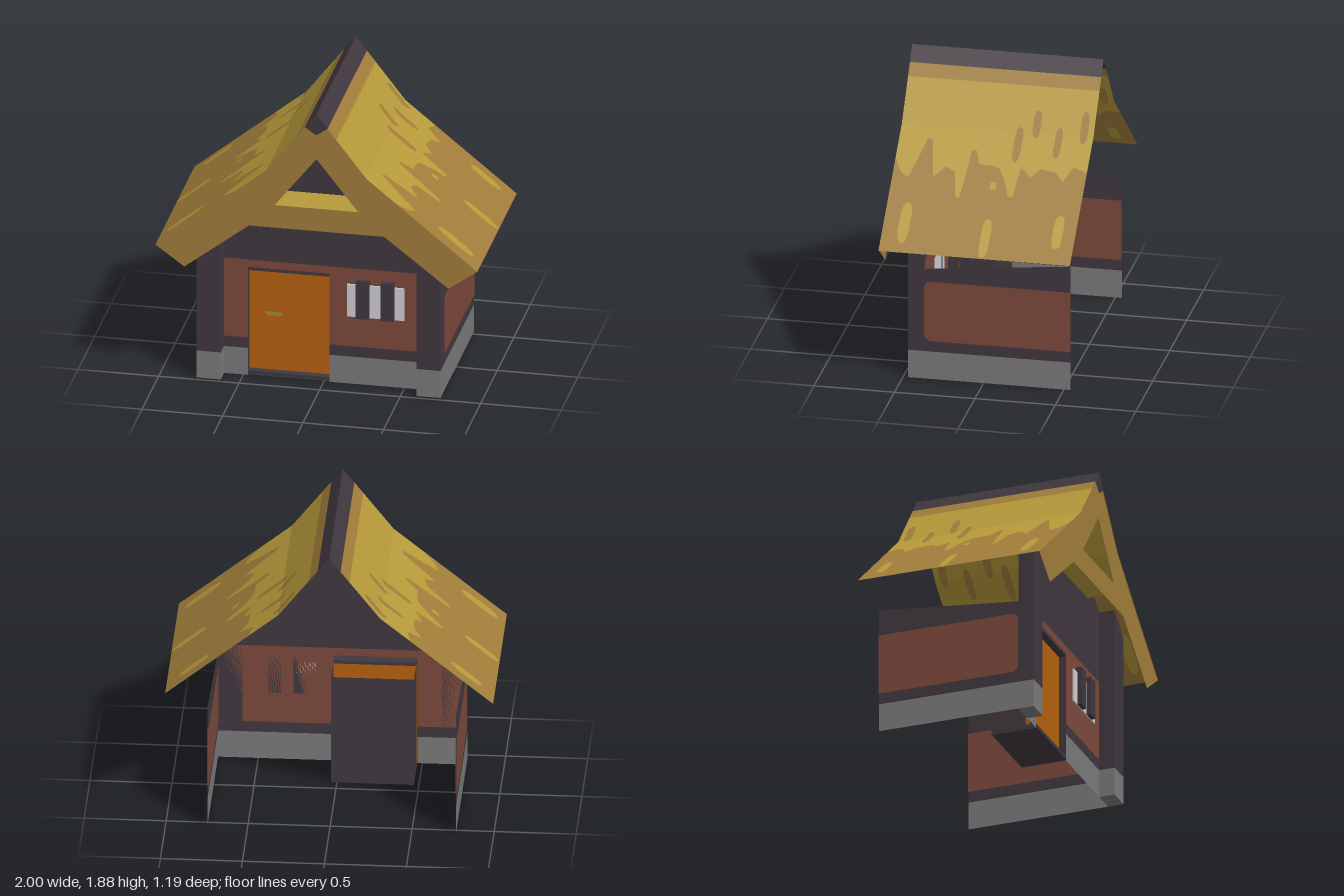
import * as THREE from 'three';

const mat = (name, color) => new THREE.MeshStandardMaterial({ name, color, side: THREE.DoubleSide });

export function createModel() {
  const timber = mat('dark timber', 0x40373f), thatch = mat('brown thatch', 0xa17d3a);
  const straw = mat('light straw', 0xb79a3a), brick = mat('red plaster', 0x7d493c);
  const stone = mat('grey stone', 0x7a7a7a), orange = mat('orange door', 0xb5610f);
  const pale = mat('pale window', 0xd0d0d4), brass = mat('brass handle', 0xa68a36);
  const model = new THREE.Group();
  model.name = 'thatchedHut';

  const add = (name, geo, m) => {
    geo.computeVertexNormals();
    const mesh = new THREE.Mesh(geo, m);
    mesh.name = name;
    model.add(mesh);
    return mesh;
  };
  const toShape = pts => new THREE.Shape(pts.map(p => new THREE.Vector2(p[0], p[1])));
  // Flat outline whose (u, v) points are placed in space by a rule
  const sheet = (name, pts, m, place, hole) => {
    const s = toShape(pts);
    if (hole) s.holes.push(toShape(hole));
    const g = new THREE.ShapeGeometry(s), p = g.attributes.position;
    for (let i = 0; i < p.count; i++) p.setXYZ(i, ...place(p.getX(i), p.getY(i)));
    return add(name, g, m);
  };
  const box = (name, x0, x1, y0, y1, z0, z1, m) => {
    const g = new THREE.BoxGeometry(x1 - x0, y1 - y0, z1 - z0);
    g.translate((x0 + x1) / 2, (y0 + y1) / 2, (z0 + z1) / 2);
    return add(name, g, m);
  };
  const rect = (a, b, c, d) => [[a, c], [b, c], [b, d], [a, d]];
  const atZ = z => (x, y) => [x, y, z];

  // Roof: two pitches, steep above the kink and shallow below
  const EAVE = 0.92, KINK = 1.48, TOP = 1.88, F = 0.6, B = -0.59;
  const roofX = y => y > KINK ? (TOP - y) * 0.31 / 0.4 : 0.31 + (KINK - y) * 0.69 / 0.56;
  const roofPart = (name, pts, m, lift = 0) => {
    for (const side of [1, -1]) for (const [lo, hi] of [[EAVE, KINK], [KINK, TOP]]) {
      const cut = pts.map(([z, y]) => [z, Math.min(hi, Math.max(lo, y))])
        .filter((p, i, a) => i === 0 || p[0] !== a[i - 1][0] || p[1] !== a[i - 1][1]);
      const ys = cut.map(p => p[1]);
      if (Math.max(...ys) - Math.min(...ys) < 0.005) continue;
      sheet(name, cut, m, (z, y) => [side * (roofX(y) + lift * 0.7), y + lift * 0.7, z]);
    }
  };
  const wave = [[F, 1.33], [0.55, 1.27], [0.5, 1.25], [0.45, 1.36], [0.42, 1.43], [0.39, 1.42],
    [0.37, 1.34], [0.35, 1.26], [0.28, 1.31], [0.22, 1.29], [0.19, 1.18], [0.165, 1.18],
    [0.15, 1.27], [0.14, 1.39], [0.11, 1.39], [0.08, 1.33], [0, 1.33], [-0.05, 1.32], [-0.1, 1.26],
    [-0.13, 1.2], [-0.16, 1.2], [-0.18, 1.33], [-0.25, 1.29], [-0.3, 1.33], [-0.4, 1.32],
    [-0.45, 1.28], [-0.5, 1.35], [B, 1.33]];
  roofPart('lowerThatch', [[B, EAVE], [F, EAVE], ...wave], thatch);
  roofPart('upperStraw', [[B, 1.72], [F, 1.72], ...wave], straw);
  roofPart('ridgeBand', rect(B, F, 1.72, 1.79), thatch);
  roofPart('ridgeCap', rect(B, F, 1.79, TOP), timber);

  // Tufts: light on the lower thatch, brown on the straw
  const tuft = (z, y, w, h, m) => {
    const pts = [];
    for (let i = 0; i < 12; i++) {
      const a = (i + 0.5) / 12 * Math.PI * 2, c = Math.cos(a), s = Math.sin(a);
      pts.push([z + c * w / 2, y + Math.sign(s) * Math.sqrt(Math.abs(s)) * h / 2]);
    }
    for (const lift of [0.004, -0.004]) roofPart('tuft', pts, m, lift);
  };
  [[0.47, 1.05, 0.07, 0.18], [-0.04, 1.01, 0.06, 0.17], [-0.48, 1.06, 0.065, 0.15], [-0.03, 1.24, 0.04, 0.035]]
    .forEach(t => tuft(...t, straw));
  [[-0.135, 1.43, 0.05, 0.16], [-0.235, 1.53, 0.05, 0.14], [-0.38, 1.45, 0.045, 0.14], [-0.53, 1.53, 0.05, 0.16]]
    .forEach(t => tuft(...t, thatch));

  // Front gable of thatch with a triangular opening and ledge
  const half = [[0.31, KINK], [1, EAVE], [0.82, 0.79], [0.42, 1.1]];
  const mirror = h => h.map(([x, y]) => [-x, y]).reverse();
  sheet('gable', [[0, TOP], ...half, ...mirror(half)], thatch, atZ(0.595),
    [[0, 1.58], [-0.26, 1.25], [0.26, 1.25]]);
  sheet('ridgeEnd', [[0, TOP], [0.07, 1.79], [0, 1.74], [-0.07, 1.79]], timber, atZ(F));
  sheet('gableLedge', rect(-0.4, 0.4, 0.37, 0.595), straw, (x, z) => [x, 1.25, z]);

  // Front wall in bands, with the doorway left open
  const L = -0.77, R = 0.745, W = 0.37, D0 = -0.47, D1 = 0.035;
  for (const [a, b] of [[L, D0], [D1, R]]) {
    sheet('frontBase', rect(a, b, 0, 0.18), stone, atZ(W));
    sheet('frontSillBeam', rect(a, b, 0.18, 0.25), timber, atZ(W));
  }
  sheet('frontPanel', [[L, 0.25], [D0, 0.25], [D0, 0.72], [D1, 0.72], [D1, 0.25], [R, 0.25], [R, 0.77], [L, 0.77]],
    brick, atZ(W));
  const under = x => EAVE + (1 - Math.abs(x)) * 0.56 / 0.69 - 0.01;
  sheet('frontGableWall', [[L, 0.77], [R, 0.77], [R, under(R)], [0.31, 1.46], [0, 1.86], [-0.31, 1.46], [L, under(L)]],
    timber, atZ(W));

  // Corner posts on stone feet, cut to the roof pitch
  for (const [a, b] of [[L, -0.62], [0.595, R]]) {
    box('postFoot', a, b, 0, 0.18, W, 0.47, stone);
    const g = new THREE.ExtrudeGeometry(toShape([[a, 0.18], [b, 0.18], [b, under(b)], [a, under(a)]]),
      { depth: 0.1, bevelEnabled: false });
    g.translate(0, 0, W);
    add('cornerPost', g, timber);
  }

  // Side walls, with a plaster panel on both faces
  const BK = -0.54;
  for (const x of [L, R]) {
    const onX = dx => (z, y) => [x + dx, y, z];
    sheet('sideBase', rect(BK, W, 0, 0.18), stone, onX(0));
    sheet('sideTimber', [[BK, 0.18], [W, 0.18], [W, 0.72], [BK, 0.81]], timber, onX(0));
    const panel = [[BK, 0.25], [0.33, 0.25], [0.36, 0.262], [W, 0.29], [W, 0.6], [0.36, 0.628], [0.33, 0.64], [BK, 0.64]];
    for (const dx of [0.004, -0.004]) sheet('sidePanel', panel, brick, onX(dx));
  }

  // Door, lintel and sill, with an open-topped lobby behind
  box('door', D0, D1, 0.03, 0.7, 0.3, 0.325, orange);
  box('lintel', D0, D1, 0.7, 0.72, 0.3, W, timber);
  box('sill', D0, D1, 0.008, 0.03, 0.3, W, timber);
  for (const x of [D0, D1]) sheet('lobbySide', rect(0.08, W, 0, 0.72), timber, (z, y) => [x, y, z]);
  sheet('lobbyBack', rect(D0, D1, 0, 0.72), timber, atZ(0.08));
  sheet('lobbyFloor', rect(D0, D1, 0.08, W), timber, (x, z) => [x, 0.005, z]);
  sheet('handle', [[-0.375, 0.41], [-0.355, 0.39], [-0.265, 0.395], [-0.265, 0.415], [-0.36, 0.42]], brass, atZ(0.332));

  // Window with two upright bars
  box('window', 0.145, 0.5, 0.45, 0.665, W, 0.379, pale);
  for (const x of [0.205, 0.36]) box('windowBar', x, x + 0.08, 0.45, 0.7, W, 0.405, timber);

  return model;
}
